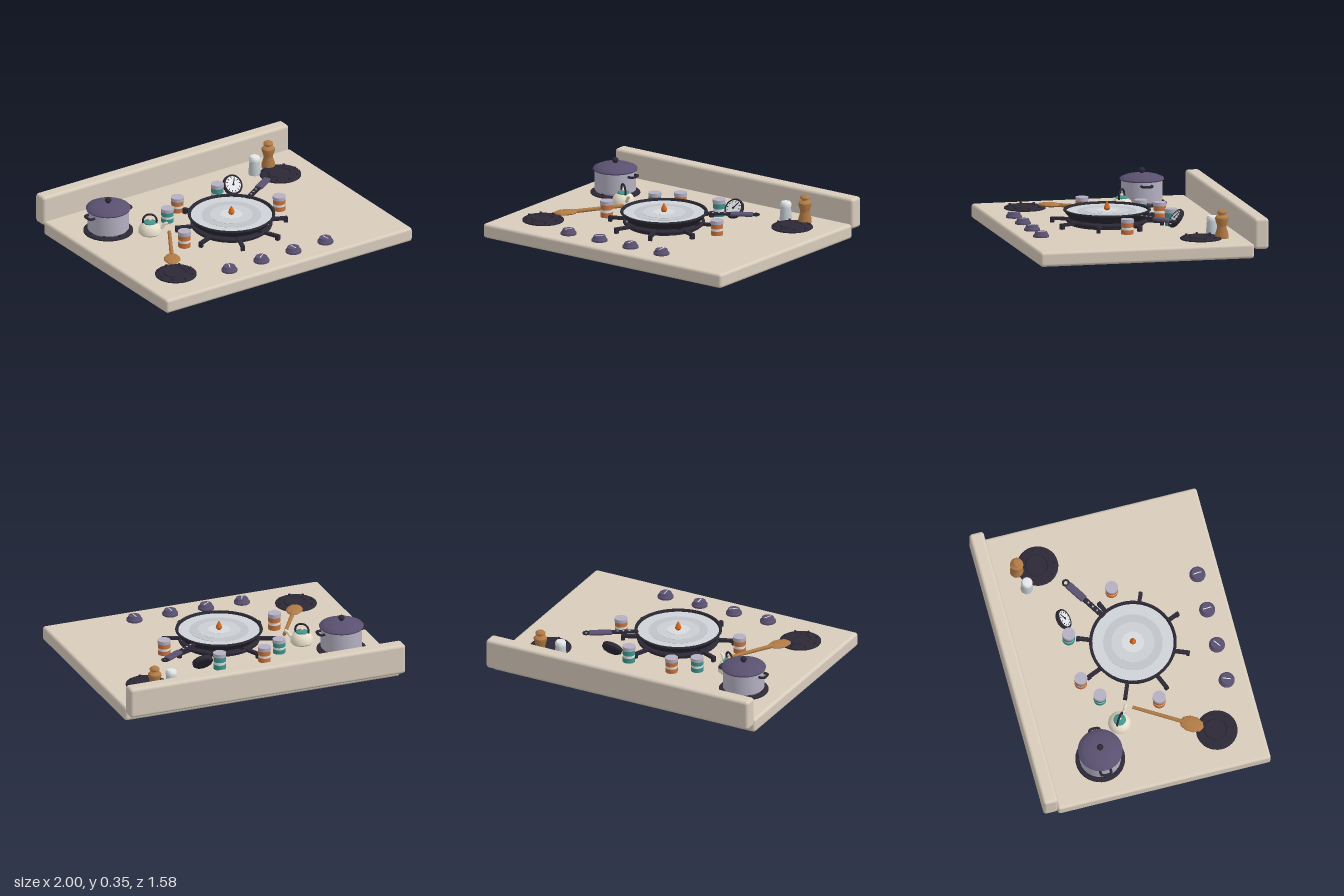
import * as THREE from 'three';
import { RoundedBoxGeometry } from 'three/addons/geometries/RoundedBoxGeometry.js';
import { toCreasedNormals } from 'three/addons/utils/BufferGeometryUtils.js';

const C = {
  enamel: 0xd8ccbc, iron: 0x2c2836, pan: 0x2a2833, plum: 0x5a5070, lilac: 0xb4b0c2, orange: 0xc8743f,
  teal: 0x3f958c, cream: 0xe8dfca, wood: 0xb07a45, white: 0xe4e6e8, flame: 0xd8691c,
};
const TOP = 0.1; // height of the work surface
const mats = {};
const mat = (c) => (mats[c] ??= new THREE.MeshStandardMaterial({ color: c, side: THREE.DoubleSide }));

function add(parent, name, geo, color, x = 0, y = 0, z = 0) {
  const m = new THREE.Mesh(geo, mat(color));
  m.name = name;
  m.position.set(x, y, z);
  parent.add(m);
  return m;
}
function group(parent, name, x, y, z, turn = 0) {
  const g = new THREE.Group();
  g.name = name;
  g.position.set(x, y, z);
  g.rotation.y = turn;
  parent.add(g);
  return g;
}
const lathe = (pts, n = 32) =>
  toCreasedNormals(new THREE.LatheGeometry(pts.map(([r, y]) => new THREE.Vector2(r, y)), n), 0.6);
const cyl = (r1, r2, h, n = 24) => new THREE.CylinderGeometry(r1, r2, h, n);
const box = (w, h, d) => new THREE.BoxGeometry(w, h, d);
const tube = (pts, r, n = 16) =>
  new THREE.TubeGeometry(new THREE.CatmullRomCurve3(pts.map((p) => new THREE.Vector3(...p))), n, r, 8);

// Flat burner with a raised cap and a ring of studs
function burner(root, x, z, r) {
  const g = group(root, 'burner', x, TOP, z);
  add(g, 'burnerPlate', lathe([[0, 0], [r, 0], [r, 0.008], [r * 0.93, 0.014], [r * 0.6, 0.012],
    [r * 0.56, 0.02], [r * 0.5, 0.02], [r * 0.47, 0.014], [0, 0.014]]), C.iron);
  for (let i = 0; i < 8; i++) {
    const a = (i / 8) * Math.PI * 2;
    add(g, 'burnerStud', cyl(0.009, 0.011, 0.022, 10), C.iron, Math.cos(a) * r * 0.83, 0.013, Math.sin(a) * r * 0.83);
  }
}

// Banded spice jar
function jar(root, x, z, color, h) {
  const g = group(root, 'spiceJar', x, TOP, z);
  const bands = [[color, 0.3, 0.042], [C.white, 0.17, 0.04], [color, 0.3, 0.042], [C.lilac, 0.23, 0.044]];
  let y = 0;
  for (const [c, part, r] of bands) {
    add(g, 'jarBand', cyl(r, r, part * h), c, 0, y + (part * h) / 2, 0);
    y += part * h;
  }
}

// Control knob with pointer line
function knob(root, x, turn) {
  const g = group(root, 'controlKnob', x, TOP, 0.64, turn);
  add(g, 'knobBody', lathe([[0, 0], [0.054, 0], [0.054, 0.012], [0.046, 0.02], [0.04, 0.036], [0, 0.037]], 24), C.plum);
  add(g, 'knobPointer', box(0.006, 0.003, 0.056), C.white, 0, 0.037, 0);
}

function centralBurner(root) {
  const g = group(root, 'centralBurner', 0, TOP, 0.09);
  add(g, 'burnerBase', lathe([[0, 0], [0.25, 0], [0.25, 0.012], [0.2, 0.02], [0.15, 0.034], [0, 0.034]], 40), C.iron);
  const ring = add(g, 'grateRing', new THREE.TorusGeometry(0.265, 0.012, 8, 48), C.iron, 0, 0.027, 0);
  ring.rotation.x = Math.PI / 2;
  for (let i = 0; i < 8; i++) {
    const arm = group(g, 'grateArm', 0, 0, 0, Math.PI / 8 + (i * Math.PI) / 4);
    add(arm, 'grateBar', box(0.19, 0.02, 0.026), C.iron, 0.29, 0.028, 0);
    add(arm, 'grateFoot', box(0.024, 0.036, 0.026), C.iron, 0.373, 0.018, 0);
  }
}

function fryingPan(root) {
  const g = group(root, 'fryingPan', 0, 0, 0.09);
  add(g, 'panBody', lathe([[0, 0.138], [0.22, 0.138], [0.25, 0.145], [0.286, 0.185], [0.295, 0.195],
    [0.293, 0.204], [0.28, 0.204], [0.272, 0.186], [0, 0.184]], 64), C.pan);
  // Concentric surface bands
  [[0.276, 0xcfd3d8], [0.2, 0xc0c4c9], [0.145, 0xcbcfd4], [0.075, 0xd6dade]].forEach(([r, c], i) =>
    add(g, 'panSurface', cyl(r, r, 0.004, 64), c, 0, 0.188 + i * 0.0015, 0));
  add(g, 'flame', lathe([[0, 0.192], [0.014, 0.195], [0.022, 0.208], [0.017, 0.225], [0.007, 0.245], [0, 0.258]], 16), C.flame);
  // Handle
  const h = group(g, 'panHandle', 0, 0.19, 0, 0.56);
  add(h, 'handleBar', box(0.2, 0.014, 0.034), C.pan, 0.37, 0, 0);
  for (let i = 0; i < 3; i++) add(h, 'handleRivet', cyl(0.007, 0.007, 0.004, 10), C.lilac, 0.33 + i * 0.04, 0.007, 0);
  add(h, 'handleGrip', new RoundedBoxGeometry(0.155, 0.024, 0.054, 3, 0.011), C.plum, 0.525, 0, 0);
  const loop = add(h, 'hangingLoop', new THREE.TorusGeometry(0.02, 0.007, 8, 20), C.pan, 0.62, 0, 0);
  loop.rotation.x = Math.PI / 2;
}

function stockPot(root) {
  const g = group(root, 'stockPot', -0.72, TOP, -0.325);
  add(g, 'potBody', lathe([[0, 0.014], [0.13, 0.014], [0.14, 0.026], [0.14, 0.166], [0, 0.166]], 40), C.lilac);
  add(g, 'potLid', lathe([[0, 0.164], [0.148, 0.164], [0.151, 0.172], [0.145, 0.18], [0.11, 0.195],
    [0.06, 0.206], [0, 0.21]], 40), C.plum);
  add(g, 'lidStem', cyl(0.01, 0.013, 0.02, 12), C.iron, 0, 0.215, 0);
  add(g, 'lidKnob', new THREE.SphereGeometry(0.022, 16, 12).scale(1, 0.85, 1), C.iron, 0, 0.229, 0);
  for (const s of [1, -1])
    add(g, 'potHandle', tube([[s * 0.134, 0, -0.036], [s * 0.165, 0, -0.032], [s * 0.172, 0, 0],
      [s * 0.165, 0, 0.032], [s * 0.134, 0, 0.036]], 0.009), C.iron, 0, 0.14, 0);
}

function kettle(root) {
  const g = group(root, 'kettle', -0.51, TOP, -0.135, -0.63);
  add(g, 'kettleBody', lathe([[0, 0], [0.066, 0], [0.078, 0.012], [0.077, 0.035], [0.062, 0.065], [0.038, 0.082], [0, 0.086]]), C.cream);
  add(g, 'kettleLid', lathe([[0.042, 0.079], [0.041, 0.086], [0.025, 0.094], [0, 0.097]]), C.teal);
  add(g, 'lidKnob', new THREE.SphereGeometry(0.011, 12, 8), C.cream, 0, 0.102, 0);
  add(g, 'kettleSpout', tube([[0.06, 0.035, 0], [0.085, 0.05, 0], [0.1, 0.072, 0], [0.12, 0.08, 0]], 0.011), C.cream);
  add(g, 'kettleHandle', tube([[-0.045, 0.075, 0], [-0.044, 0.11, 0], [-0.025, 0.134, 0], [0, 0.14, 0],
    [0.025, 0.134, 0], [0.044, 0.11, 0], [0.045, 0.075, 0]], 0.007, 24), C.iron);
}

// Round dial leaning backwards
function dialTimer(root) {
  const g = group(root, 'dialTimer', 0.285, 0.168, -0.32);
  g.rotation.x = 0.91;
  add(g, 'dialCase', lathe([[0, -0.018], [0.06, -0.018], [0.07, -0.008], [0.07, 0.014], [0.064, 0.018],
    [0.058, 0.012], [0, 0.012]]), C.iron);
  add(g, 'dialFace', cyl(0.057, 0.057, 0.003, 32), C.white, 0, 0.0135, 0);
  for (let i = 0; i < 12; i++) {
    const a = (i * Math.PI) / 6;
    const t = add(g, 'dialTick', box(0.004, 0.002, 0.011), C.iron, Math.sin(a) * 0.047, 0.016, Math.cos(a) * 0.047);
    t.rotation.y = a;
  }
  const needle = add(g, 'dialNeedle', box(0.006, 0.003, 0.05), C.iron, 0.008, 0.017, -0.014);
  needle.rotation.y = -0.5;
  add(g, 'dialHub', cyl(0.008, 0.008, 0.005, 12), C.iron, 0, 0.017, 0);
}

function woodenSpoon(root) {
  const g = group(root, 'woodenSpoon', -0.645, 0.132, 0.33, 1.02);
  const bowl = new THREE.SphereGeometry(1, 10, 6).scale(0.084, 0.016, 0.058).toNonIndexed();
  bowl.computeVertexNormals();
  add(g, 'spoonBowl', bowl, C.wood);
  const stick = add(g, 'spoonHandle', cyl(0.012, 0.014, 0.36, 10), C.wood, 0.235, 0, 0);
  stick.rotation.z = -Math.PI / 2;
}

function shakers(root) {
  const salt = group(root, 'saltShaker', 0.585, TOP, -0.495);
  add(salt, 'saltBody', lathe([[0, 0], [0.042, 0], [0.042, 0.01], [0.034, 0.105], [0, 0.105]], 20), 0xc4ccd2);
  add(salt, 'saltCap', lathe([[0.038, 0.1], [0.038, 0.118], [0.03, 0.131], [0, 0.136]], 20), C.white);
  add(root, 'pepperMill', lathe([[0, 0], [0.046, 0], [0.046, 0.025], [0.032, 0.07], [0.034, 0.09], [0.045, 0.125],
    [0.045, 0.14], [0.034, 0.152], [0.022, 0.157], [0.022, 0.163], [0.034, 0.17], [0.034, 0.178],
    [0.022, 0.19], [0, 0.193]], 16), C.wood, 0.72, TOP, -0.53);
}

export function createModel() {
  const root = new THREE.Group();
  root.name = 'stoveTop';
  add(root, 'counter', new RoundedBoxGeometry(2, 0.1, 1.48, 4, 0.02), C.enamel, 0, 0.05, 0.05);
  add(root, 'backPanel', new RoundedBoxGeometry(2, 0.212, 0.1, 4, 0.022), C.enamel, 0, 0.166, -0.74);

  burner(root, -0.72, 0.485, 0.14);
  burner(root, 0.72, -0.385, 0.14);
  burner(root, -0.72, -0.325, 0.168);
  centralBurner(root);
  fryingPan(root);
  stockPot(root);
  kettle(root);
  dialTimer(root);
  woodenSpoon(root);
  shakers(root);

  jar(root, -0.43, 0.16, C.orange, 0.115);
  jar(root, -0.31, -0.22, C.teal, 0.1);
  jar(root, -0.165, -0.315, C.orange, 0.105);
  jar(root, 0.16, -0.315, C.teal, 0.115);
  jar(root, 0.415, 0.05, C.orange, 0.102);

  [-0.4, -0.95, 0.05, 0.08].forEach((turn, i) => knob(root, -0.39 + i * 0.26, turn));
  return root;
}
